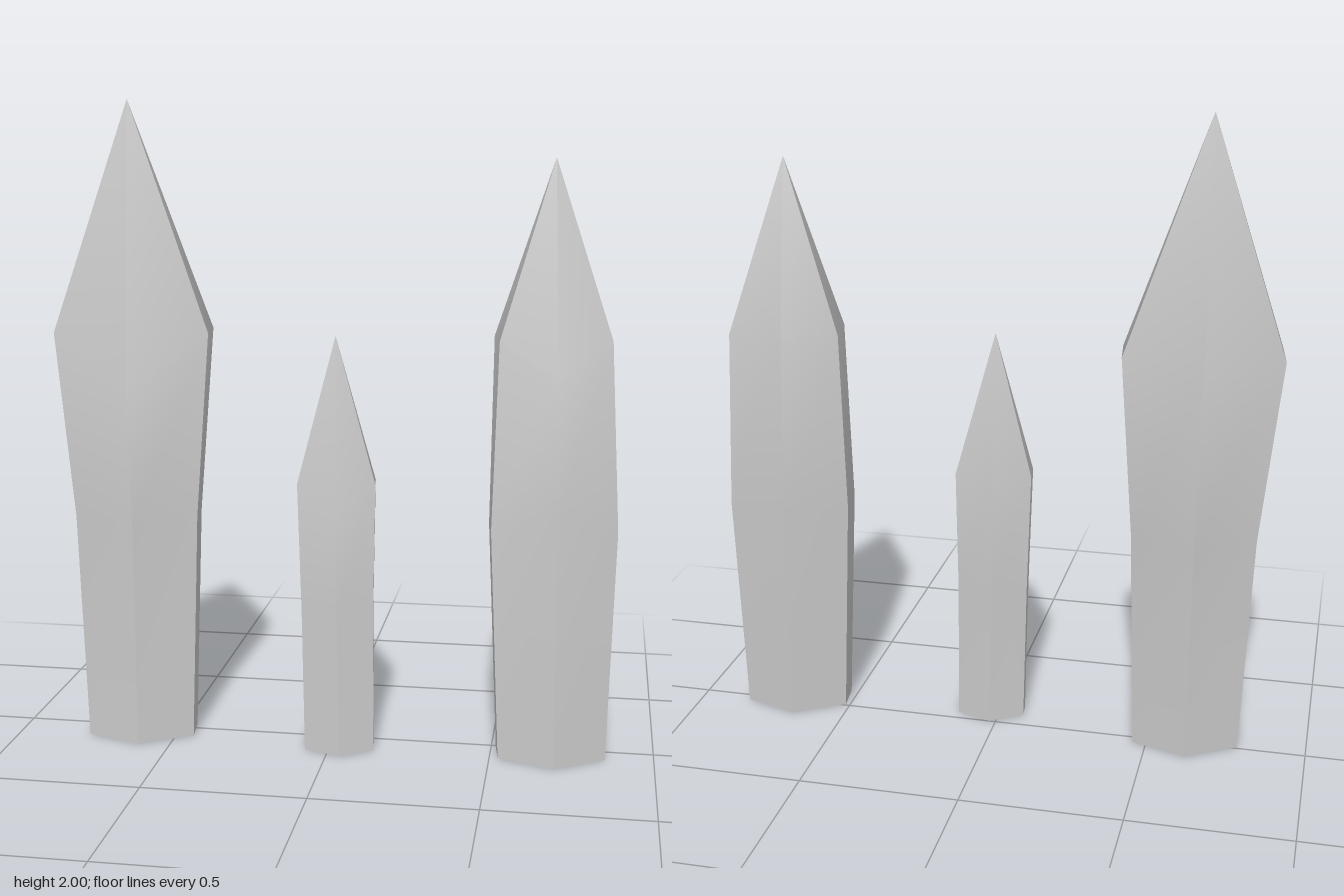
import * as THREE from 'three';

const material = new THREE.MeshStandardMaterial({ color: 0xcccccc, side: THREE.DoubleSide });

// Six-sided ring, pointed to front and back, with narrow flat sides.
// w, d: half width and depth; e: half depth of the flat sides; yFront: height of the front corner
function ring({ x, z, y, yFront = y, w, d, e, turn = 0.12 }) {
  const c = Math.cos(turn), s = Math.sin(turn);
  return [[0, d], [w, e], [w, -e], [0, -d], [-w, -e], [-w, e]].map(([px, pz], i) =>
    new THREE.Vector3(x + px * c + pz * s, i === 0 ? yFront : y, z + pz * c - px * s));
}

// Hollow crystal, open below: every side is its own strip, smooth along its
// length and sharp against its neighbours, and ends in a triangle at the tip
function crystal(name, tip, sections) {
  const rings = sections.map(ring);
  const apex = new THREE.Vector3(...tip);
  const points = [], index = [];
  for (let i = 0; i < 6; i++) {
    const j = (i + 1) % 6, start = points.length;
    rings.forEach((r, k) => {
      points.push(r[i], r[j]);
      const a = start + 2 * k;
      if (k < rings.length - 1) index.push(a, a + 1, a + 3, a, a + 3, a + 2);
      else index.push(a, a + 1, a + 2);
    });
    points.push(apex);
  }
  const geometry = new THREE.BufferGeometry().setFromPoints(points);
  geometry.setIndex(index);
  geometry.computeVertexNormals();
  const mesh = new THREE.Mesh(geometry, material);
  mesh.name = name;
  return mesh;
}

export function createModel() {
  const group = new THREE.Group();
  group.name = 'crystals';
  group.add(
    // Tallest crystal, widening up to the shoulder
    crystal('tallCrystal', [-0.635, 2, 0.01], [
      { x: -0.615, z: 0.037, y: 0.005, w: 0.166, d: 0.128, e: 0.05 },
      { x: -0.62, z: 0.02, y: 0.72, w: 0.19, d: 0.147, e: 0.057 },
      { x: -0.63, z: -0.003, y: 1.295, yFront: 1.11, w: 0.238, d: 0.196, e: 0.073 },
    ]),
    // Small crystal in the middle
    crystal('smallCrystal', [0.015, 1.3, 0.07], [
      { x: 0.03, z: 0.083, y: 0.005, w: 0.107, d: 0.083, e: 0.032 },
      { x: 0.023, z: 0.077, y: 0.46, w: 0.11, d: 0.085, e: 0.034 },
      { x: 0.018, z: 0.068, y: 0.85, yFront: 0.74, w: 0.119, d: 0.097, e: 0.037 },
    ]),
    // Broad crystal, widest at mid height
    crystal('broadCrystal', [0.66, 1.83, 0.01], [
      { x: 0.683, z: 0.037, y: 0.005, w: 0.164, d: 0.128, e: 0.05 },
      { x: 0.675, z: 0.02, y: 0.72, yFront: 0.8, w: 0.19, d: 0.147, e: 0.057 },
      { x: 0.662, z: -0.007, y: 1.295, yFront: 1.18, w: 0.168, d: 0.122, e: 0.07, turn: 0.17 },
    ]),
  );
  return group;
}
